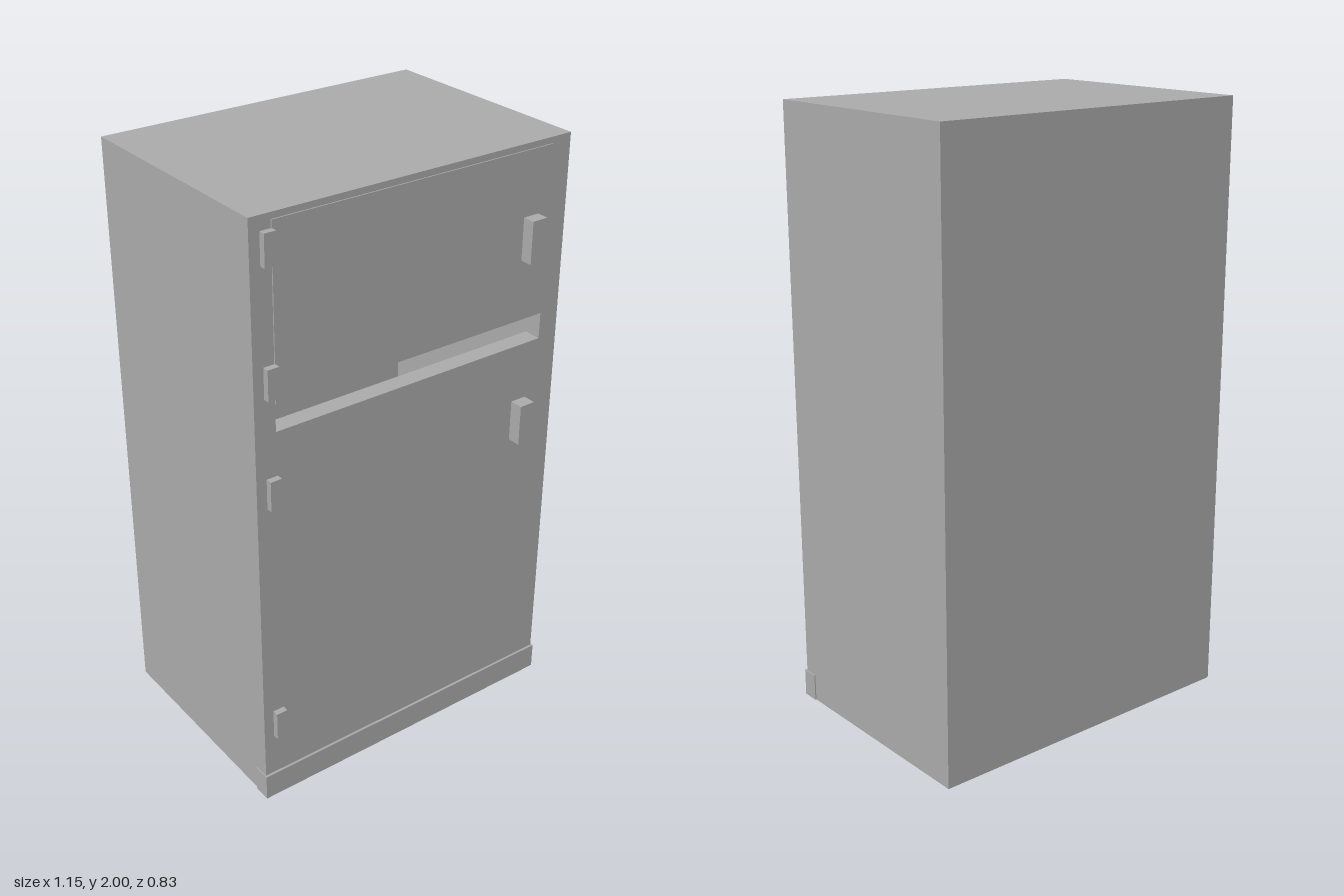
import * as THREE from 'three';

export function createModel() {
  const model = new THREE.Group();
  const grey = new THREE.MeshStandardMaterial({ color: 0xa9a9a9 });
  grey.name = 'grey';

  const add = (name, geometry) => {
    const mesh = new THREE.Mesh(geometry, grey);
    mesh.name = name;
    model.add(mesh);
  };

  // Box given by its limits along x, y and z
  const block = (name, [x0, x1], [y0, y1], [z0, z1]) => {
    const g = new THREE.BoxGeometry(x1 - x0, y1 - y0, z1 - z0);
    g.translate((x0 + x1) / 2, (y0 + y1) / 2, (z0 + z1) / 2);
    add(name, g);
  };

  const rect = (path, x0, x1, y0, y1) => {
    path.moveTo(x0, y0);
    path.lineTo(x1, y0);
    path.lineTo(x1, y1);
    path.lineTo(x0, y1);
    path.closePath();
    return path;
  };

  // Full-size cabinet slice between two depths, with an optional opening
  const slice = (name, z0, z1, opening) => {
    const shape = rect(new THREE.Shape(), -0.571, 0.571, 0, 2);
    if (opening) shape.holes.push(rect(new THREE.Path(), ...opening));
    const g = new THREE.ExtrudeGeometry(shape, { depth: z1 - z0, bevelEnabled: false });
    g.translate(0, 0, z0);
    add(name, g);
  };

  // Hollow cabinet: back, surrounding walls, and front with a wide slot
  slice('backPanel', -0.415, -0.38);
  slice('cabinetWalls', -0.38, 0.31, [-0.535, 0.535, 0.04, 1.96]);
  slice('frontPanel', 0.31, 0.37, [-0.5, 0.5, 1.34, 1.43]);

  // Block inside the cabinet, seen through the slot
  block('innerCompartment', [-0.36, 0.07], [0.04, 1.38], [-0.38, 0.08]);

  // Slightly raised upper door and the plinth around the front
  block('upperDoorPanel', [-0.5, 0.5], [1.43, 1.98], [0.368, 0.374]);
  block('kickPlate', [-0.575, 0.575], [0, 0.09], [0.32, 0.378]);

  // Hinges on one side, handles on the other
  for (const y of [0.24, 1.095, 1.455, 1.855]) {
    block('hinge', [-0.536, -0.497], [y, y + 0.1], [0.365, 0.391]);
  }
  for (const y of [1.005, 1.632]) {
    block('handle', [0.4, 0.456], [y, y + 0.139], [0.365, 0.415]);
  }

  return model;
}
